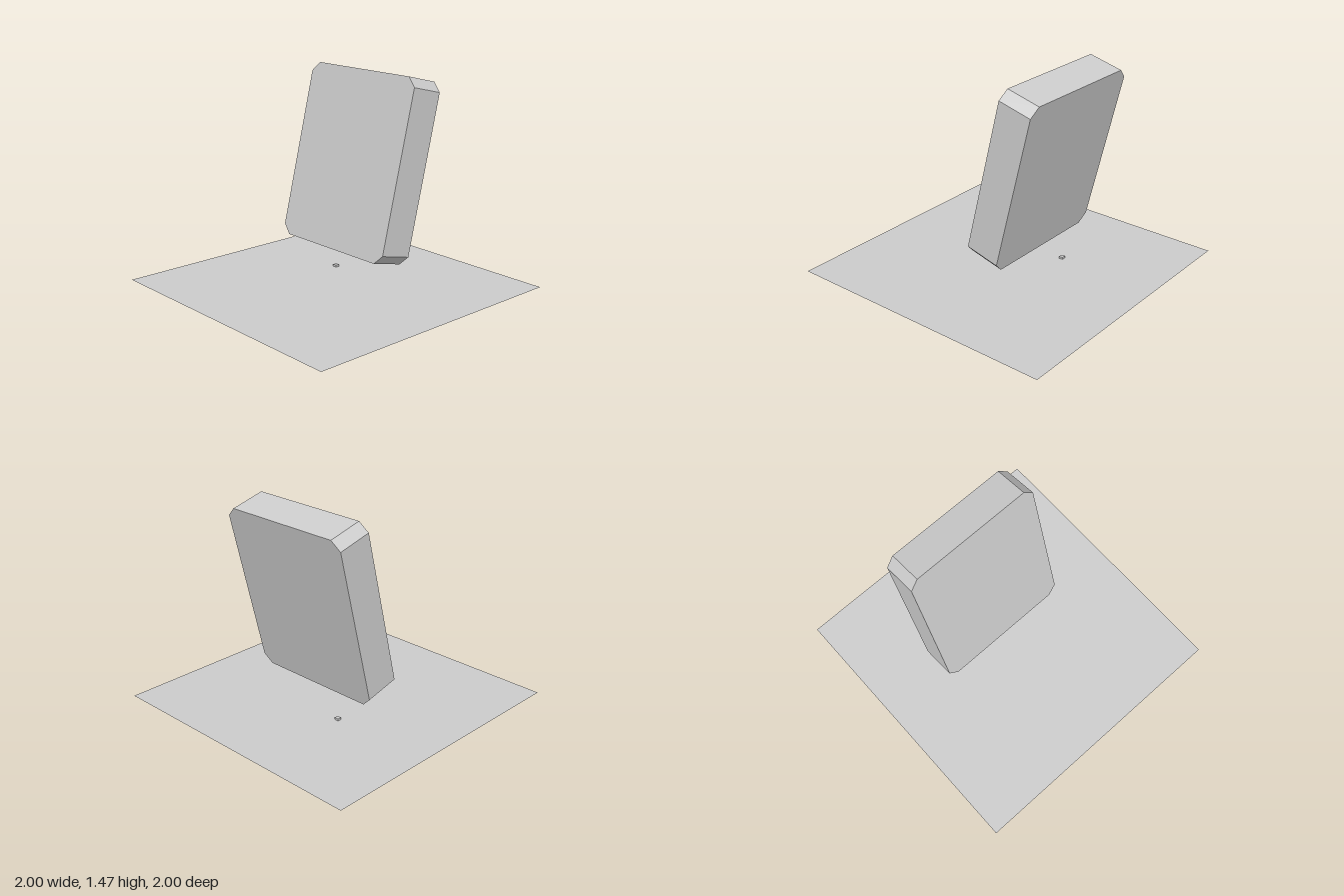
import * as THREE from 'three';

export function createModel() {
  const model = new THREE.Group();
  const material = new THREE.MeshStandardMaterial({ color: 0xcccccc, flatShading: true });
  const add = (name, geometry, x, y, z, mat = material) => {
    const mesh = new THREE.Mesh(geometry, mat);
    mesh.name = name;
    mesh.position.set(x, y, z);
    model.add(mesh);
    return mesh;
  };

  // Thin square ground sheet, seen from both sides
  const sheet = material.clone();
  sheet.side = THREE.DoubleSide;
  add('groundSheet', new THREE.PlaneGeometry(2, 2).rotateX(-Math.PI / 2), 0, 0.015, 0, sheet);

  // Small cube half sunk in the sheet
  add('smallCube', new THREE.BoxGeometry(0.03, 0.03, 0.03), -0.254, 0.015, -0.25);

  // Slab with chamfered corners, leaning back
  const w = 0.5, h = 0.623, c = 0.065, depth = 0.25;
  const outline = new THREE.Shape([
    [w - c, -h], [w, c - h], [w, h - c], [w - c, h],
    [c - w, h], [-w, h - c], [-w, c - h], [c - w, -h],
  ].map(([x, y]) => new THREE.Vector2(x, y)));
  const slab = new THREE.ExtrudeGeometry(outline, { depth, bevelEnabled: false });
  slab.translate(0, 0, -depth / 2);
  add('leaningSlab', slab, -0.035, 0.839, -0.263).rotation.x = -0.244;

  return model;
}
